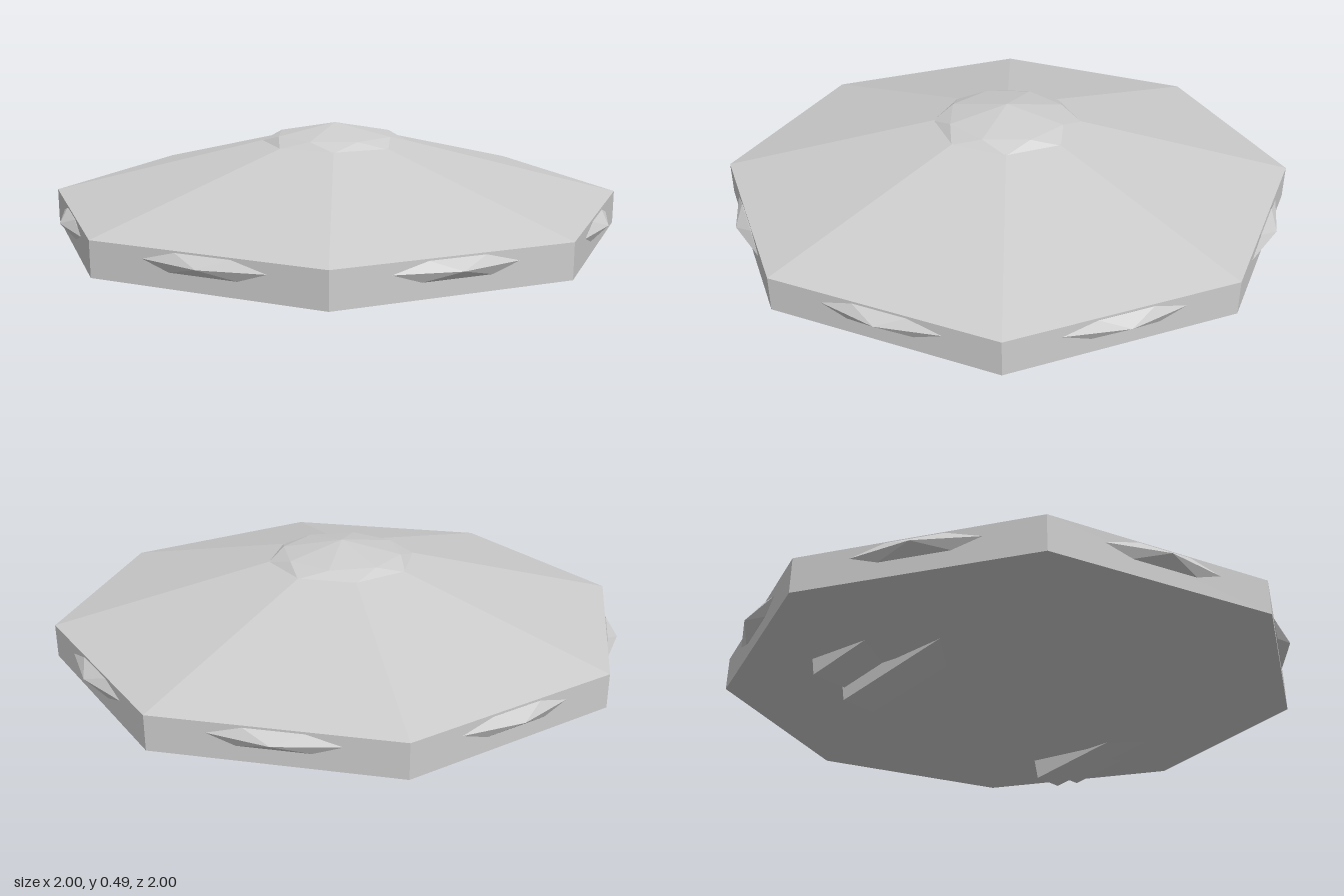
import * as THREE from 'three';
import { ConvexGeometry } from 'three/addons/geometries/ConvexGeometry.js';

const material = (color) => new THREE.MeshStandardMaterial({ color, flatShading: true });
const grey = material(0xcccccc);
const darkPurple = material(0x24143a);
const lampYellow = material(0xd8c486);

function part(name, geometry, mat = grey) {
  const mesh = new THREE.Mesh(geometry, mat);
  mesh.name = name;
  return mesh;
}

// Eight points on a level circle
function ring(radius, y, offset) {
  return Array.from({ length: 8 }, (_, i) => {
    const a = offset + (i * Math.PI) / 4;
    return new THREE.Vector3(radius * Math.sin(a), y, radius * Math.cos(a));
  });
}

// Tapering duct sunk into the belly, open at its +x end
function createDuct(name, z, bottom, withLamp) {
  const duct = new THREE.Group();
  duct.name = name;
  const width = 0.13, height = 0.11, wall = 0.018, length = 0.5;
  const w = width / 2;

  const outline = new THREE.Shape([
    new THREE.Vector2(-w, 0), new THREE.Vector2(w, 0),
    new THREE.Vector2(w, height), new THREE.Vector2(-w, height),
  ]);
  outline.holes.push(new THREE.Path([
    new THREE.Vector2(-w + wall, wall), new THREE.Vector2(-w + wall, height - wall),
    new THREE.Vector2(w - wall, height - wall), new THREE.Vector2(w - wall, wall),
  ]));
  const casing = new THREE.ExtrudeGeometry(outline, { depth: length, bevelEnabled: false });
  casing.translate(0, 0, -length);
  casing.rotateY(Math.PI / 2);
  duct.add(part('ductCasing', casing));

  if (withLamp) {
    // Dark lining of the recess: floor, sides and back
    const inner = width - 2 * wall, tall = height - 2 * wall;
    const floor = part('recessFloor', new THREE.BoxGeometry(0.14, 0.004, inner), darkPurple);
    floor.position.set(-0.075, wall + 0.002, 0);
    const back = part('recessBack', new THREE.BoxGeometry(0.004, tall, inner), darkPurple);
    back.position.set(-0.14, height / 2, 0);
    duct.add(floor, back);
    for (const side of [-1, 1]) {
      const lining = part('recessSide', new THREE.BoxGeometry(0.14, tall, 0.004), darkPurple);
      lining.position.set(-0.075, height / 2, side * (inner / 2 - 0.002));
      duct.add(lining);
    }
    const lamp = part('lamp', new THREE.SphereGeometry(0.035, 12, 8), lampYellow);
    lamp.position.set(-0.05, 0.065, 0);
    duct.add(lamp);
  }
  duct.rotation.z = -0.2;
  duct.position.set(0.24, bottom, z);
  return duct;
}

export function createModel() {
  const model = new THREE.Group();
  model.name = 'saucer';

  // Eight-sided hull
  const profile = [[0, 0.015], [1, 0.125], [1, 0.24], [0, 0.485]]
    .map(([r, y]) => new THREE.Vector2(r, y));
  model.add(part('hull', new THREE.LatheGeometry(profile, 8)));

  // Low faceted cap on the roof
  model.add(part('roofCap', new ConvexGeometry([
    ...ring(0.26, 0.42, 0),
    ...ring(0.21, 0.447, Math.PI / 8),
    new THREE.Vector3(0, 0.487, 0),
  ])));

  // Lens-shaped bulge in the middle of each rim panel
  const bulge = new ConvexGeometry([
    [-0.2, 0.205, 0], [0, 0.205, 0.04], [0.2, 0.205, 0],
    [-0.09, 0.235, 0.003], [0.09, 0.235, 0.003],
    [-0.11, 0.175, 0.003], [0.11, 0.175, 0.003],
    [0, 0.205, -0.05],
  ].map((p) => new THREE.Vector3(...p)));
  for (let i = 0; i < 8; i++) {
    const a = Math.PI / 8 + (i * Math.PI) / 4;
    const mesh = part('rimBulge', bulge);
    mesh.position.set(0.924 * Math.sin(a), 0, 0.924 * Math.cos(a));
    mesh.rotation.y = a;
    model.add(mesh);
  }

  // Paired ducts under both sides of the belly
  for (const side of [-1, 1]) {
    model.add(createDuct('innerDuct', side * 0.505, 0, true));
    model.add(createDuct('outerDuct', side * 0.635, 0.045, false));
  }
  return model;
}
